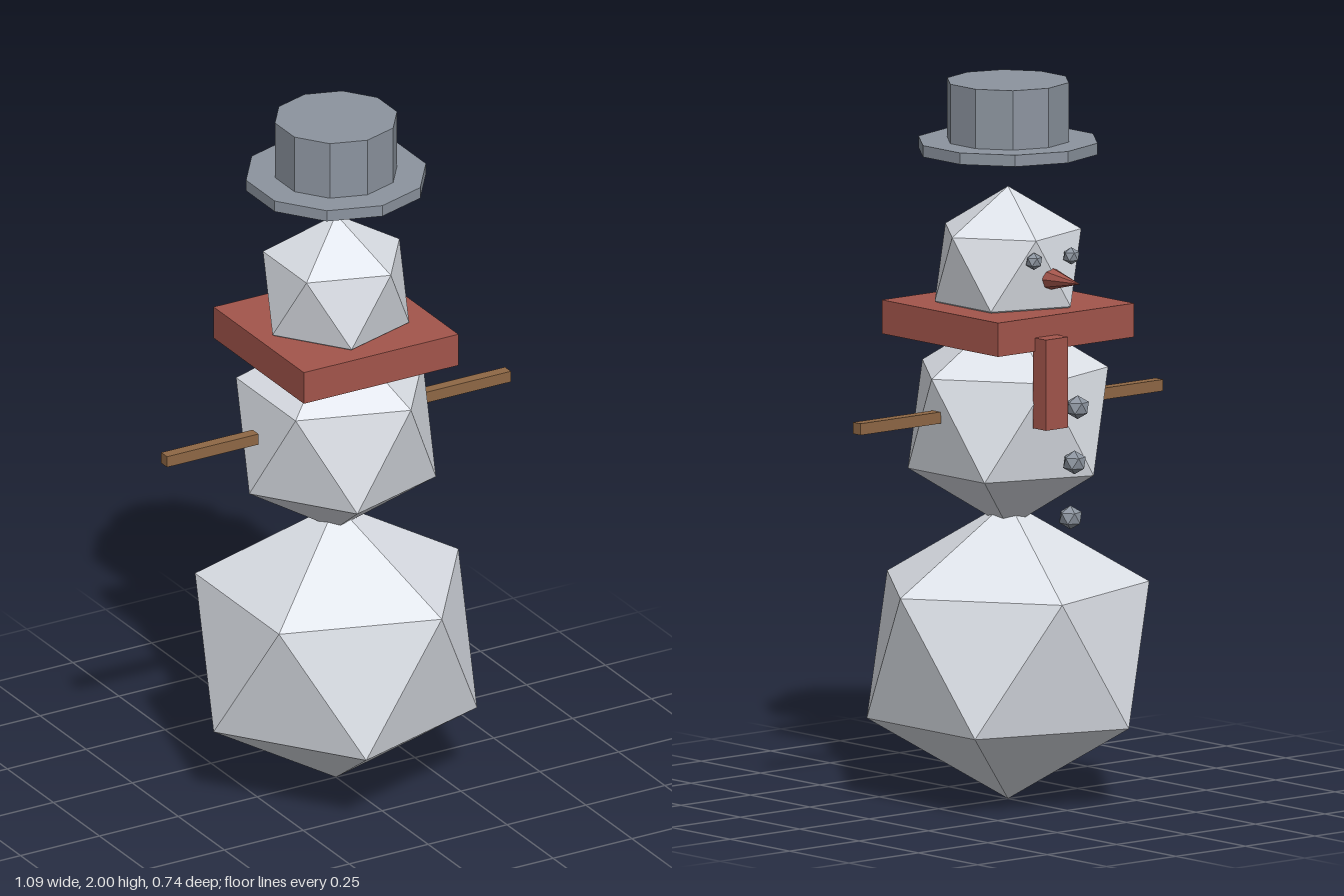
import * as THREE from 'three';

const mat = (name, color) => new THREE.MeshStandardMaterial({ name, color, flatShading: true });

// Icosahedron standing on one corner: ringR = radius of its two five-corner rings, h = half height
function icoGeometry(ringR, h) {
  const ringY = h * 0.447;
  const ring = (i, offset, y) => {
    const a = (i + offset) * Math.PI * 2 / 5;
    return [Math.cos(a) * ringR, y, Math.sin(a) * ringR];
  };
  const top = [0, h, 0], bottom = [0, -h, 0], pos = [];
  for (let i = 0; i < 5; i++) {
    const u0 = ring(i, 0, ringY), u1 = ring(i + 1, 0, ringY);
    const l0 = ring(i, 0.5, -ringY), l1 = ring(i + 1, 0.5, -ringY);
    pos.push(...top, ...u1, ...u0, ...u0, ...u1, ...l0);
    pos.push(...l0, ...u1, ...l1, ...bottom, ...l0, ...l1);
  }
  const g = new THREE.BufferGeometry();
  g.setAttribute('position', new THREE.Float32BufferAttribute(pos, 3));
  g.computeVertexNormals();
  return g;
}

export function createModel() {
  const group = new THREE.Group();
  group.name = 'snowman';
  const snow = mat('snow', 0xdde1e8);
  const slate = mat('slate', 0x8c949f);
  const red = mat('red', 0xa3554b);
  const wood = mat('wood', 0x8f6845);

  const add = (name, geometry, material, x, y, z) => {
    const m = new THREE.Mesh(geometry, material);
    m.name = name;
    m.position.set(x, y, z);
    group.add(m);
    return m;
  };

  // Three snowballs
  add('baseBall', icoGeometry(0.388, 0.414), snow, 0, 0.418, 0);
  add('bodyBall', icoGeometry(0.275, 0.306), snow, 0, 1.063, 0);
  add('headBall', icoGeometry(0.201, 0.219), snow, 0, 1.487, 0);

  // Scarf and its hanging end
  add('scarf', new THREE.BoxGeometry(0.49, 0.094, 0.49), red, 0, 1.338, 0);
  add('scarfTail', new THREE.BoxGeometry(0.08, 0.252, 0.054), red, 0.073, 1.203, -0.265);

  // Floating top hat
  add('hatBrim', new THREE.CylinderGeometry(0.252, 0.252, 0.032, 10), slate, 0, 1.819, 0);
  add('hatCrown', new THREE.CylinderGeometry(0.171, 0.171, 0.17, 10), slate, 0, 1.915, 0);

  // Arms and eyes, mirrored
  for (const [side, s] of [['left', 1], ['right', -1]]) {
    add(side + 'Arm', new THREE.BoxGeometry(0.29, 0.032, 0.032), wood, s * 0.4, 1.093, 0);
    add(side + 'Eye', icoGeometry(0.022, 0.024), slate, s * 0.067, 1.529, -0.188);
  }

  // Carrot nose
  const nose = add('nose', new THREE.ConeGeometry(0.031, 0.123, 8), red, 0, 1.473, -0.242);
  nose.rotation.x = -Math.PI / 2;

  // Buttons down the chest
  [[1.13, -0.293], [0.975, -0.28], [0.82, -0.263]].forEach(([y, z], i) =>
    add('button' + (i + 1), icoGeometry(0.031, 0.033), slate, 0, y, z));

  return group;
}
